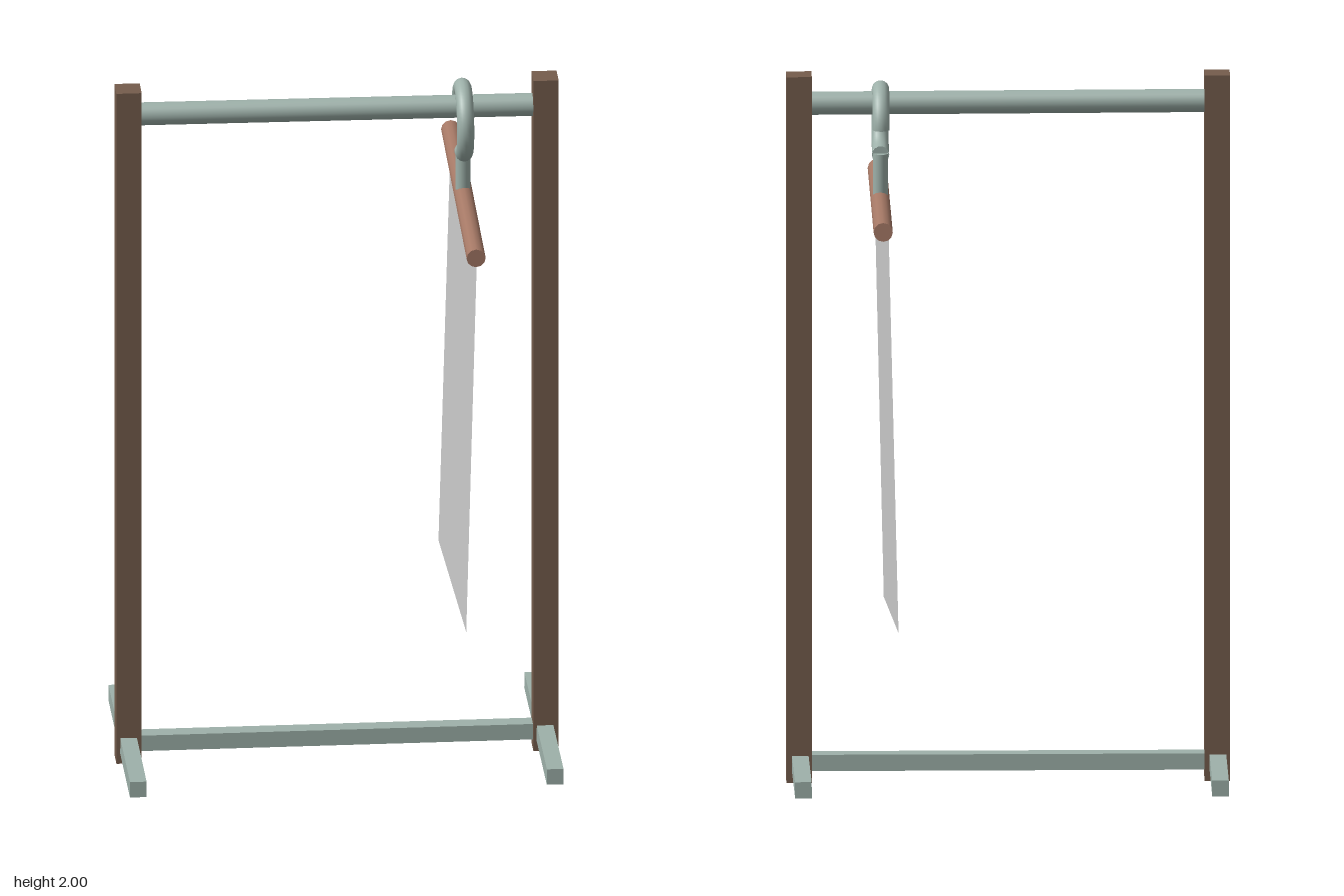
import * as THREE from 'three';

const mat = (color, opts = {}) => new THREE.MeshStandardMaterial({ color, ...opts });

export function createModel() {
  const group = new THREE.Group();
  const wood = mat(0x755d4d);
  const metal = mat(0x9eb1aa);
  const rodWood = mat(0xa67966);

  const add = (name, geometry, material, x = 0, y = 0, z = 0) => {
    const mesh = new THREE.Mesh(geometry, material);
    mesh.name = name;
    mesh.position.set(x, y, z);
    group.add(mesh);
    return mesh;
  };

  // Place a geometry whose length runs along y between two points
  const span = (name, makeGeometry, material, a, b) => {
    const from = new THREE.Vector3(...a);
    const to = new THREE.Vector3(...b);
    const dir = to.clone().sub(from);
    const mesh = add(name, makeGeometry(dir.length()), material);
    mesh.position.copy(from).add(to).multiplyScalar(0.5);
    mesh.quaternion.setFromUnitVectors(new THREE.Vector3(0, 1, 0), dir.normalize());
    return mesh;
  };
  const round = (r, sides) => (len) => new THREE.CylinderGeometry(r, r, len, sides);
  const square = (s) => (len) => new THREE.BoxGeometry(s, len, s);

  // Upright posts and their feet
  for (const side of [-1, 1]) {
    const name = side > 0 ? 'left' : 'right';
    add(name + 'Post', new THREE.BoxGeometry(0.07, 2, 0.072), wood, side * 0.577, 1, 0.021);
    const backX = side > 0 ? 0.571 : -0.58;
    span(name + 'Foot', square(0.046), metal, [backX, 0.053, -0.33], [side * 0.577, 0.053, 0.375]);
  }

  // Rails joining the posts
  span('topRail', round(0.032, 24), metal, [-0.575, 1.922, 0.017], [0.575, 1.917, 0.024]);
  span('bottomRail', square(0.046), metal, [-0.575, 0.053, 0.02], [0.575, 0.053, 0.022]);

  // Hanger: crossbar, stem and open hook in the yz plane
  span('hangerBar', round(0.0265, 12), rodWood, [0.353, 1.635, 0.44], [0.353, 1.659, -0.44]);
  add('hangerStem', new THREE.CylinderGeometry(0.021, 0.021, 0.13, 16), metal, 0.352, 1.715, 0);
  const hook = add('hangerHook', new THREE.TorusGeometry(0.092, 0.024, 14, 48, Math.PI * 1.5), metal, 0.352, 1.868, 0);
  hook.rotation.y = Math.PI / 2;
  for (const [y, z, turn] of [[0, -0.092, Math.PI / 2], [-0.092, 0, Math.PI]]) {
    const cap = add('hookEnd', new THREE.CircleGeometry(0.024, 14), metal, 0.352, 1.868 + y, z);
    cap.rotation.x = turn;
  }

  // Hanging cloth, a slightly skewed thin sheet
  const cloth = new THREE.BufferGeometry();
  cloth.setAttribute('position', new THREE.Float32BufferAttribute([
    0.363, 1.625, 0.35,
    0.338, 0.456, 0.285,
    0.308, 0.49, -0.3,
    0.335, 1.645, -0.24,
  ], 3));
  cloth.setIndex([0, 1, 2, 0, 2, 3]);
  cloth.computeVertexNormals();
  add('cloth', cloth, mat(0xcccccc, { side: THREE.DoubleSide }));

  return group;
}
